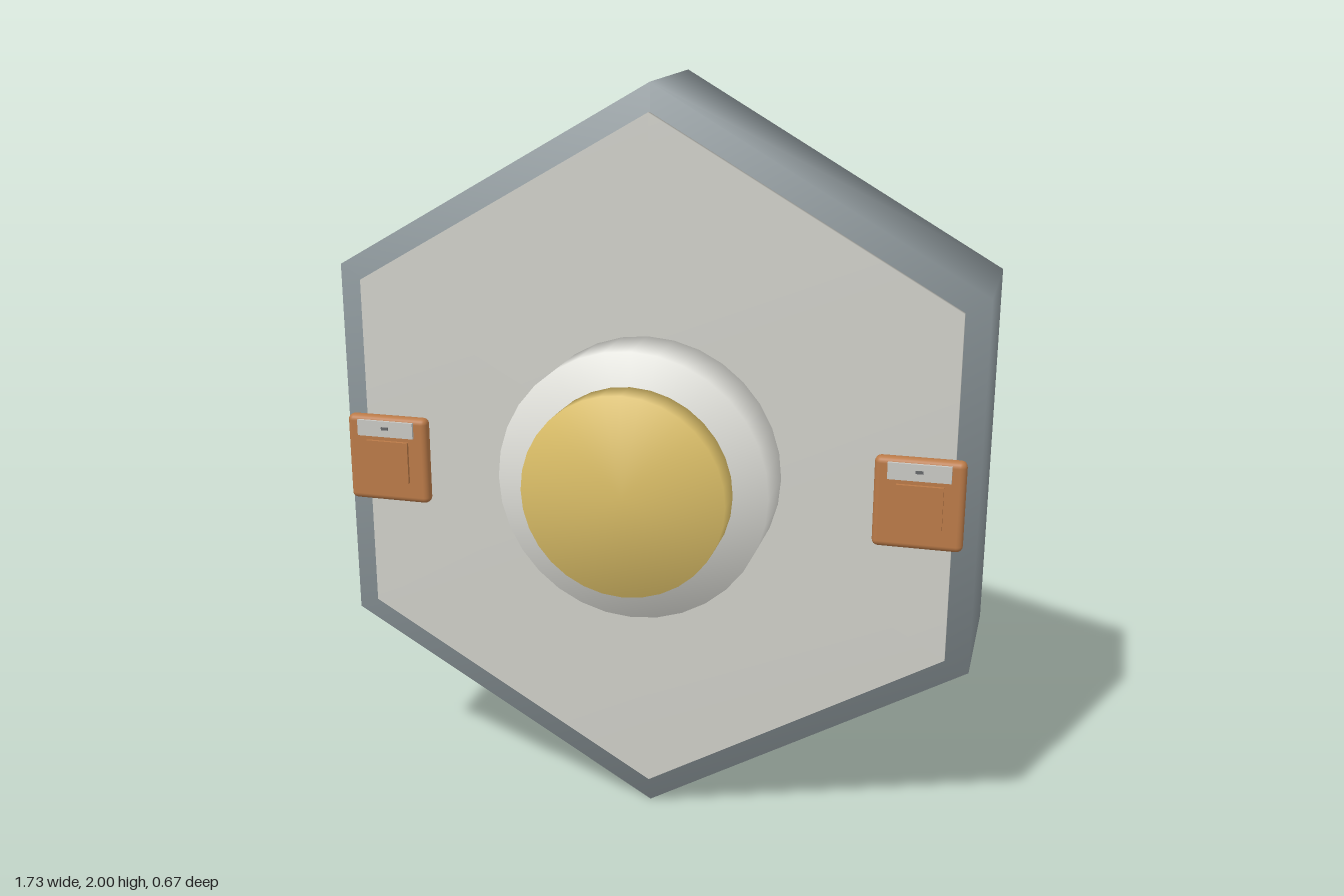
import * as THREE from 'three';
import { mergeVertices } from 'three/addons/utils/BufferGeometryUtils.js';
import { RoundedBoxGeometry } from 'three/addons/geometries/RoundedBoxGeometry.js';

const mat = (name, color) => {
  const m = new THREE.MeshStandardMaterial({ color });
  m.name = name;
  return m;
};

// Closed prism along z, shaded softly across its rims
function prism(radius, z0, z1, sides) {
  let g = new THREE.CylinderGeometry(radius, radius, z1 - z0, sides);
  g.deleteAttribute('normal');
  g.deleteAttribute('uv');
  g = mergeVertices(g, 1e-4);
  g.rotateX(Math.PI / 2);
  g.translate(0, 1, (z0 + z1) / 2);
  g.computeVertexNormals();
  return g;
}

export function createModel() {
  const root = new THREE.Group();
  root.name = 'hexagonalDevice';
  const slate = mat('slate grey', 0x879195);
  const stone = mat('pale stone', 0xcfcfc8);
  const white = mat('off white', 0xe0e0da);
  const gold = mat('gold', 0xdcbf68);
  const copper = mat('copper', 0xba7a48);
  const silver = mat('silver', 0xc8c8c4);
  const dark = mat('dark grey', 0x66686a);

  const add = (parent, name, geometry, material, x = 0, y = 0, z = 0) => {
    const mesh = new THREE.Mesh(geometry, material);
    mesh.name = name;
    mesh.position.set(x, y, z);
    parent.add(mesh);
  };

  // Hexagonal housing, face plate and stepped button
  add(root, 'housing', prism(1, -0.335, 0.058, 6), slate);
  add(root, 'facePlate', prism(0.927, 0.062, 0.078, 6), stone);
  add(root, 'buttonBase', prism(0.358, 0.076, 0.248, 32), white);
  add(root, 'button', prism(0.267, 0.245, 0.335, 32), gold);

  // Side clips with a raised pad and label strip
  for (const side of [-1, 1]) {
    const clip = new THREE.Group();
    clip.name = side > 0 ? 'leftClip' : 'rightClip';
    clip.position.set(side * 0.72, 0.982, 0.122);
    add(clip, 'clipBody', new RoundedBoxGeometry(0.23, 0.24, 0.038, 3, 0.016), copper);
    add(clip, 'clipPad', new THREE.BoxGeometry(0.12, 0.115, 0.012), copper, 0.002, -0.004, 0.022);
    add(clip, 'labelStrip', new THREE.BoxGeometry(0.16, 0.044, 0.008), silver, 0, 0.089, 0.026);
    add(clip, 'labelMark', new THREE.BoxGeometry(0.02, 0.008, 0.003), dark, 0, 0.091, 0.031);
    root.add(clip);
  }
  return root;
}
